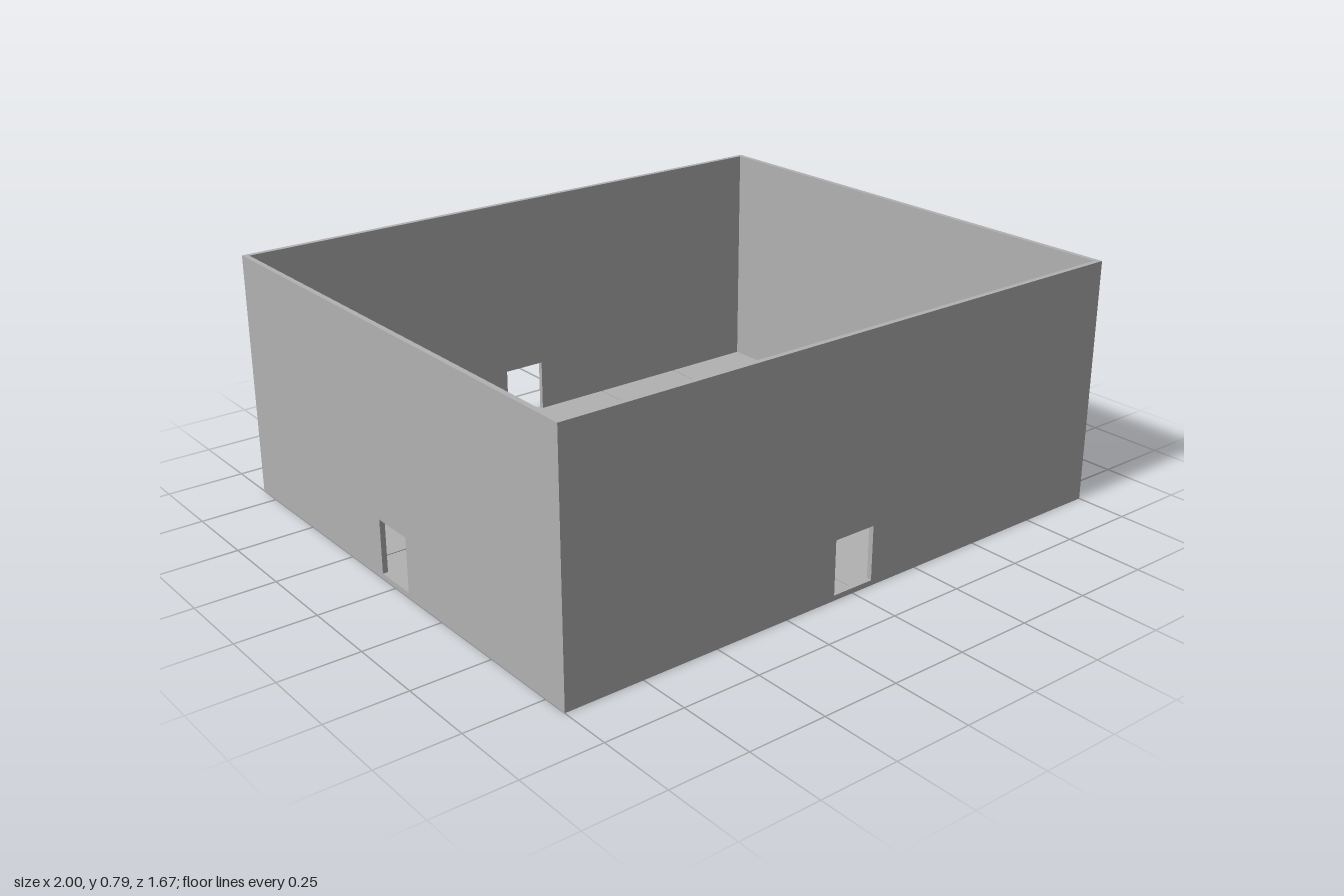
import * as THREE from 'three';

const W = 2, D = 1.666, H = 0.79, T = 0.0167; // outer size and wall / floor thickness
const DOOR_HALF = 0.0725, DOOR_TOP = 0.19;

// Upright wall panel centred on its own x, with an optional doorway
function wallGeometry(length, hasDoor) {
  const shape = new THREE.Shape();
  shape.moveTo(-length / 2, 0);
  shape.lineTo(length / 2, 0);
  shape.lineTo(length / 2, H);
  shape.lineTo(-length / 2, H);
  shape.closePath();
  if (hasDoor) {
    const hole = new THREE.Path();
    hole.moveTo(-DOOR_HALF, T);
    hole.lineTo(-DOOR_HALF, DOOR_TOP);
    hole.lineTo(DOOR_HALF, DOOR_TOP);
    hole.lineTo(DOOR_HALF, T);
    hole.closePath();
    shape.holes.push(hole);
  }
  const geometry = new THREE.ExtrudeGeometry(shape, { depth: T, bevelEnabled: false });
  return geometry.translate(0, 0, -T / 2);
}

export function createModel() {
  const model = new THREE.Group();
  model.name = 'openRoom';
  const grey = new THREE.MeshStandardMaterial({ color: 0xb2b2b2 });
  grey.name = 'plain grey';

  const add = (name, geometry, x, y, z, parent = model) => {
    const mesh = new THREE.Mesh(geometry, grey);
    mesh.name = name;
    mesh.position.set(x, y, z);
    parent.add(mesh);
    return mesh;
  };

  // Four walls; the left (+x) one is the only wall without a doorway
  add('frontWall', wallGeometry(W, true), 0, 0, D / 2 - T / 2);
  add('backWall', wallGeometry(W, true), 0, 0, -D / 2 + T / 2);
  const sideLength = D - 2 * T;
  add('leftWall', wallGeometry(sideLength, false), W / 2 - T / 2, 0, 0).rotation.y = Math.PI / 2;
  add('rightWall', wallGeometry(sideLength, true), -W / 2 + T / 2, 0, 0).rotation.y = Math.PI / 2;

  // Floor slab between the walls
  const slab = 0.0117, innerW = W - 2 * T, innerD = D - 2 * T;
  add('floorSlab', new THREE.BoxGeometry(innerW, slab, innerD), 0, slab / 2, 0);

  // Floor tiles on a 6 x 5 grid with narrow joints, trimmed at the walls
  const tiles = new THREE.Group();
  tiles.name = 'floorTiles';
  model.add(tiles);
  const gap = 0.004, tileHeight = T - slab;
  const span = (i, count, size, inner) => {
    const start = Math.max(-size / 2 + (i * size) / count + gap / 2, -inner / 2);
    const end = Math.min(-size / 2 + ((i + 1) * size) / count - gap / 2, inner / 2);
    return { centre: (start + end) / 2, length: end - start };
  };
  for (let i = 0; i < 6; i++) {
    for (let j = 0; j < 5; j++) {
      const x = span(i, 6, W, innerW), z = span(j, 5, D, innerD);
      add('floorTile', new THREE.BoxGeometry(x.length, tileHeight, z.length),
        x.centre, slab + tileHeight / 2, z.centre, tiles);
    }
  }
  return model;
}
